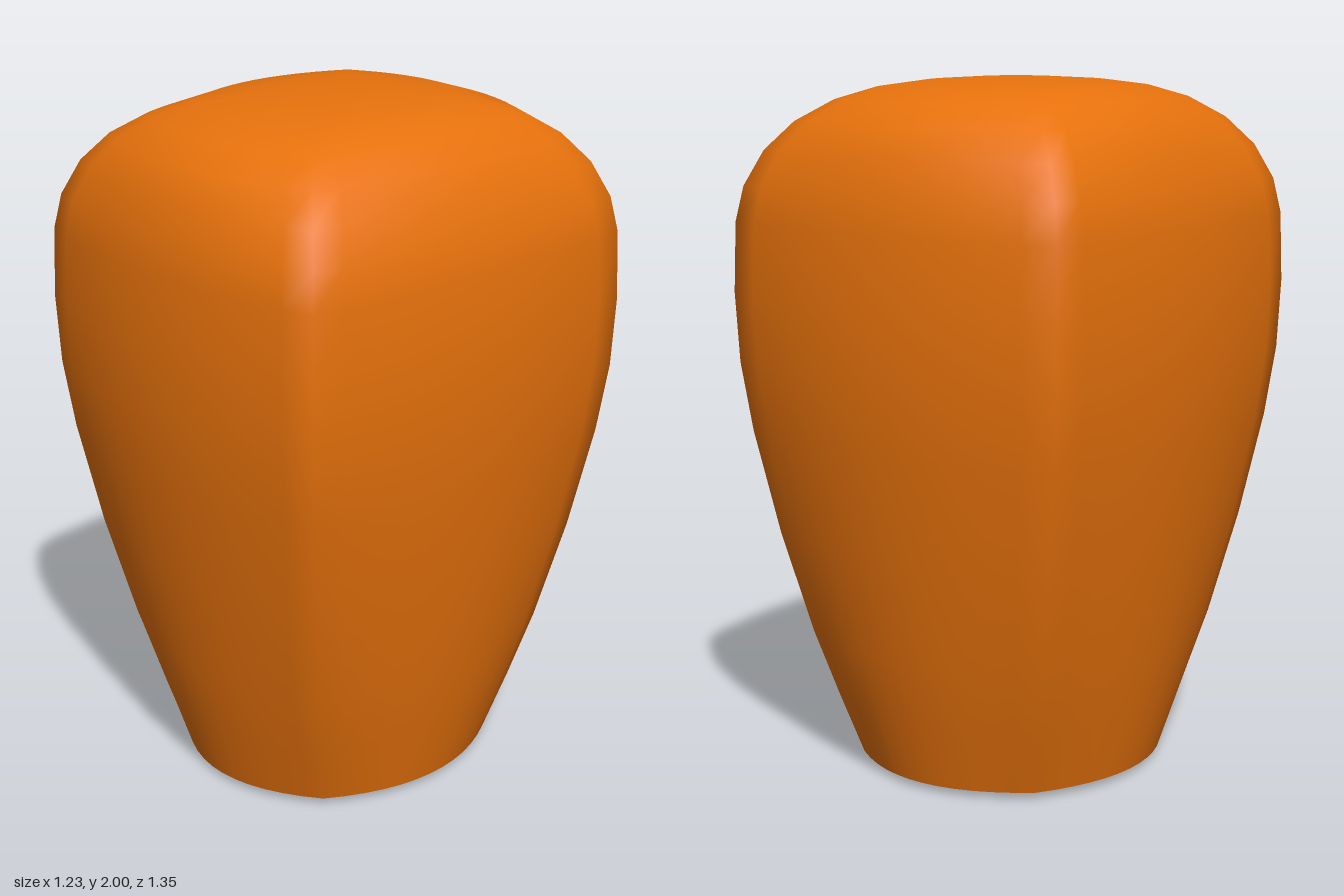
import * as THREE from 'three';

const paper = new THREE.MeshStandardMaterial({ name: 'orange paper', color: 0xe8720c, side: THREE.DoubleSide });
const metal = new THREE.MeshStandardMaterial({ name: 'grey metal', color: 0x55585a, side: THREE.DoubleSide });
const wire = new THREE.MeshStandardMaterial({ name: 'dark wire', color: 0x1c1c1c, side: THREE.DoubleSide });

const SEG = 12; // divisions per bulging side

// Each level: [y, mid half width x, mid half depth z, corner x, corner z]
const LEVELS = [
  [0.02, 0.415, 0.45, 0.31, 0.33],
  [0.2, 0.458, 0.5, 0.36, 0.38],
  [0.4, 0.5, 0.55, 0.41, 0.435],
  [0.7, 0.552, 0.605, 0.473, 0.5],
  [1.0, 0.593, 0.65, 0.525, 0.55],
  [1.2, 0.609, 0.668, 0.548, 0.574],
  [1.4, 0.614, 0.674, 0.555, 0.584],
  [1.6, 0.6, 0.662, 0.55, 0.579],
  [1.7, 0.578, 0.645, 0.533, 0.562],
  [1.8, 0.54, 0.612, 0.49, 0.522],
  [1.88, 0.49, 0.565, 0.425, 0.465],
  [1.94, 0.42, 0.48, 0.345, 0.385],
  [1.975, 0.34, 0.37, 0.265, 0.29],
  [1.992, 0.23, 0.25, 0.175, 0.19],
  [1.999, 0.11, 0.12, 0.083, 0.09],
  [2.0, 0, 0, 0, 0],
];

// Four-sided outline with each side bowed outwards
function outline([y, mx, mz, cx, cz], scale = 1) {
  const pts = [];
  for (let side = 0; side < 4; side++) {
    const s = side < 2 ? 1 : -1;
    for (let j = 0; j < SEG; j++) {
      const t = -1 + (2 * j) / SEG, bow = 1 - t * t;
      const p = side % 2 === 0
        ? [s * (cx + (mx - cx) * bow), s * cz * t]
        : [-s * cx * t, s * (cz + (mz - cz) * bow)];
      pts.push([p[0] * scale, y, p[1] * scale]);
    }
  }
  return pts;
}

// Skin a stack of closed outlines
function loft(rings) {
  const n = rings[0].length, index = [];
  for (let i = 0; i < rings.length - 1; i++) {
    for (let j = 0; j < n; j++) {
      const k = (j + 1) % n;
      const a = i * n + j, b = a + n, c = i * n + k, d = c + n;
      index.push(a, b, c, c, b, d);
    }
  }
  const g = new THREE.BufferGeometry();
  g.setAttribute('position', new THREE.Float32BufferAttribute(rings.flat(2), 3));
  g.setIndex(index);
  g.computeVertexNormals();
  return g;
}

function add(parent, name, geometry, material) {
  const m = new THREE.Mesh(geometry, material);
  m.name = name;
  parent.add(m);
  return m;
}

function rod(parent, name, from, to, radius) {
  const path = new THREE.LineCurve3(new THREE.Vector3(...from), new THREE.Vector3(...to));
  return add(parent, name, new THREE.TubeGeometry(path, 1, radius, 6), wire);
}

export function createModel() {
  const model = new THREE.Group();
  model.name = 'skyLantern';

  // Paper envelope, open at the bottom
  add(model, 'envelope', loft(LEVELS.map((l) => outline(l))), paper);

  // Band just inside the opening
  const at = (y, grow) => [y, 0.415 + grow, 0.45 + grow, 0.31 + grow, 0.33 + grow];
  add(model, 'rimBand', loft([outline(at(0.024, 0), 0.95), outline(at(0.085, 0.012), 0.95)]), metal);

  // Burner hanging in the middle of the opening
  const burner = new THREE.Group();
  burner.name = 'burner';
  model.add(burner);
  add(burner, 'burnerCup', new THREE.CylinderGeometry(0.072, 0.072, 0.07, 24), metal).position.y = 0.035;
  add(burner, 'burnerPlate', new THREE.CylinderGeometry(0.105, 0.105, 0.04, 24), metal).position.y = 0.085;

  // Wires from the burner to the corners
  for (const sx of [1, -1]) {
    for (const sz of [1, -1]) {
      rod(model, 'cornerWire', [sx * 0.06, 0.08, sz * 0.06], [sx * 0.295, 0.04, sz * 0.315], 0.006);
    }
  }

  // Thin upright fins and stays pointing to the middle of each side
  for (let i = 0; i < 4; i++) {
    const arm = new THREE.Group();
    arm.name = 'burnerArm';
    arm.rotation.y = (i * Math.PI) / 2;
    const reach = i % 2 ? 0.43 : 0.395;
    rod(arm, 'sideWire', [0.09, 0.08, 0], [reach, 0.04, 0], 0.005);
    const fin = new THREE.Shape();
    fin.moveTo(0.09, 0.07);
    fin.lineTo(0.3, 0.05);
    fin.lineTo(0.3, 0.15);
    fin.lineTo(0.09, 0.1);
    add(arm, 'fin', new THREE.ShapeGeometry(fin), wire);
    model.add(arm);
  }
  return model;
}
